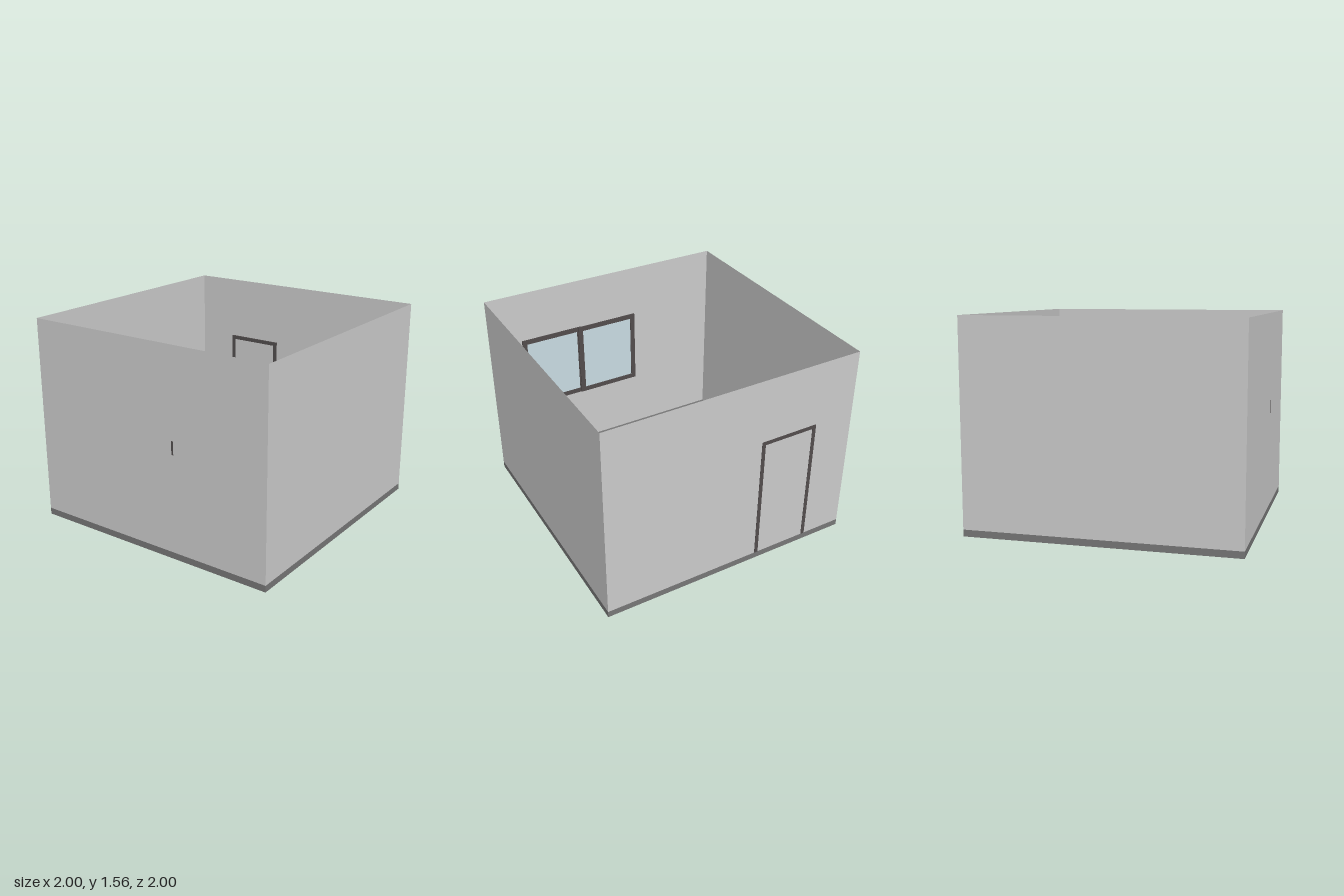
import * as THREE from 'three';

const paint = (color, side = THREE.FrontSide) => new THREE.MeshStandardMaterial({ color, side });
const WALL = paint(0xcccccc, THREE.DoubleSide);
const GREY = paint(0xcccccc);
const FLOOR = paint(0x777777);
const TRIM = paint(0x524d4d);
const GLASS = paint(0xc8dbe2);

const FLOOR_TOP = 0.05;
const WALL_TOP = 1.56;

// Box given by its lower and upper limits on each axis
function box(name, material, [x0, x1], [y0, y1], [z0, z1]) {
  const mesh = new THREE.Mesh(new THREE.BoxGeometry(x1 - x0, y1 - y0, z1 - z0), material);
  mesh.position.set((x0 + x1) / 2, (y0 + y1) / 2, (z0 + z1) / 2);
  mesh.name = name;
  return mesh;
}

// Two uprights and a top rail, with an optional bottom rail
function frame(name, x, [y0, y1], [z0, z1], w, hasSill) {
  const group = new THREE.Group();
  group.name = name;
  const bottom = hasSill ? y0 + w : y0;
  group.add(
    box('upright', TRIM, x, [bottom, y1 - w], [z0, z0 + w]),
    box('upright', TRIM, x, [bottom, y1 - w], [z1 - w, z1]),
    box('topRail', TRIM, x, [y1 - w, y1], [z0, z1])
  );
  if (hasSill) group.add(box('bottomRail', TRIM, x, [y0, y0 + w], [z0, z1]));
  return group;
}

// One sliding pane: a frame around a sheet of glass
function sash(name, x, y, z) {
  const w = 0.04;
  const group = new THREE.Group();
  group.name = name;
  const mid = (x[0] + x[1]) / 2;
  group.add(
    frame('sashFrame', x, y, z, w, true),
    box('glass', GLASS, [mid - 0.001, mid + 0.001], [y[0] + w, y[1] - w], [z[0] + w, z[1] - w])
  );
  return group;
}

export function createModel() {
  const room = new THREE.Group();
  room.name = 'room';

  room.add(box('floor', FLOOR, [-1, 1], [0, FLOOR_TOP], [-1, 1]));

  // Four paper-thin walls around an open top
  const height = WALL_TOP - FLOOR_TOP;
  ['frontWall', 'leftWall', 'backWall', 'rightWall'].forEach((name, i) => {
    const wall = new THREE.Mesh(new THREE.PlaneGeometry(2, height), WALL);
    const angle = (i * Math.PI) / 2;
    wall.rotation.y = angle;
    wall.position.set(Math.sin(angle), FLOOR_TOP + height / 2, Math.cos(angle));
    wall.name = name;
    room.add(wall);
  });

  // Door, its frame showing on both sides of the wall
  const door = new THREE.Group();
  door.name = 'door';
  door.add(
    frame('doorFrame', [0.988, 1.002], [FLOOR_TOP, 1.06], [-0.68, -0.22], 0.03, false),
    box('doorPanel', GREY, [0.992, 0.999], [FLOOR_TOP, 1.03], [-0.65, -0.25])
  );
  const knob = new THREE.Mesh(new THREE.SphereGeometry(0.024, 24, 16), GREY);
  knob.position.set(0.97, 0.52, -0.32);
  knob.name = 'doorKnob';
  door.add(knob);
  room.add(door);

  // Sliding window against the inside of the wall
  const sliding = new THREE.Group();
  sliding.name = 'window';
  const span = [0.53, 1.15];
  sliding.add(
    sash('innerSash', [-0.992, -0.984], span, [-0.28, 0.24]),
    sash('outerSash', [-0.999, -0.992], span, [0.21, 0.73]),
    box('windowHandle', TRIM, [-1.002, -0.982], [0.79, 0.89], [0.23, 0.245])
  );
  room.add(sliding);

  return room;
}
